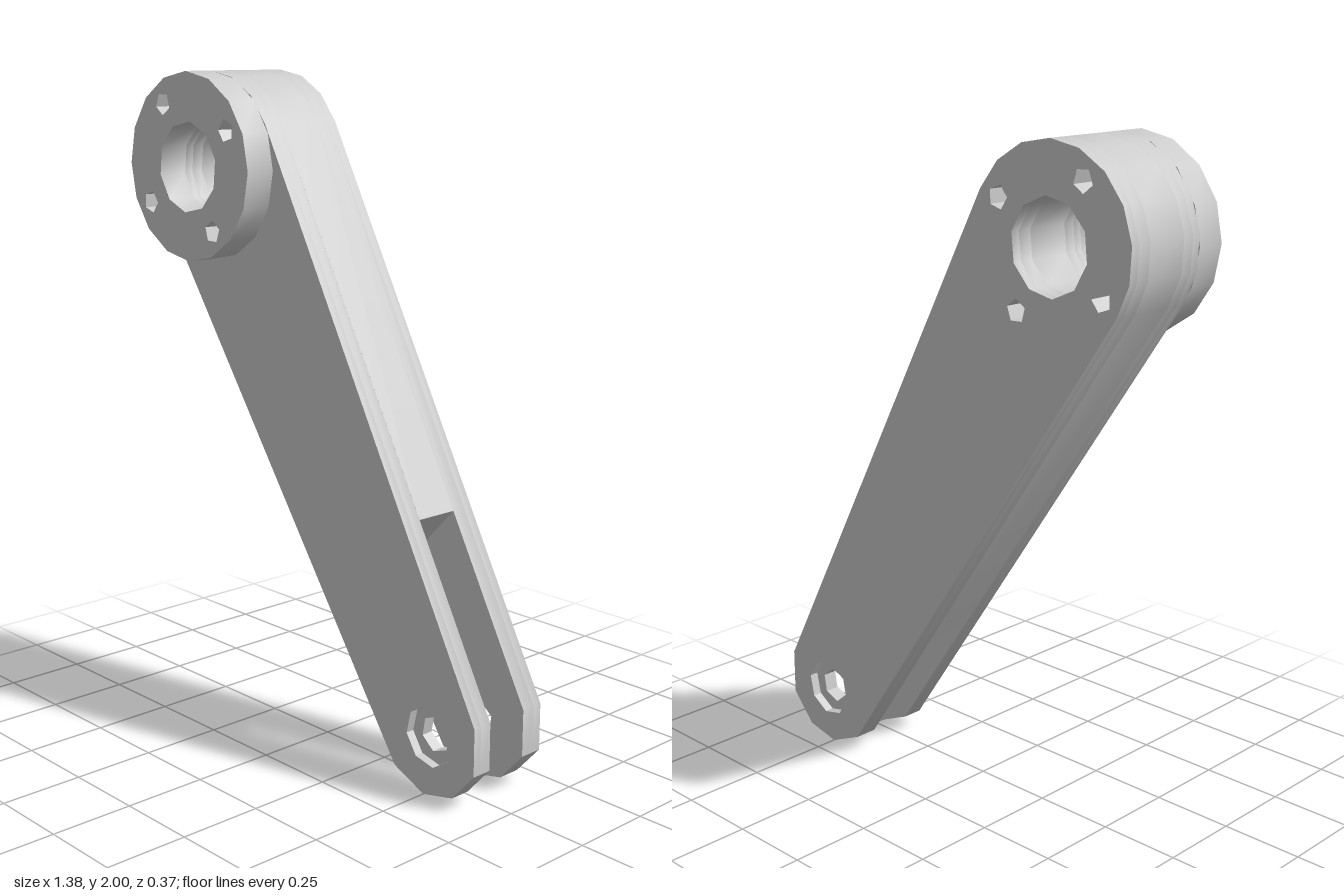
import * as THREE from 'three';
import { toCreasedNormals } from 'three/addons/utils/BufferGeometryUtils.js';

const HUB = [-0.415, 1.72], PIVOT = [0.52, 0.185];

// points on an arc, angles in degrees
function arc([cx, cy], r, from, to, n) {
  return Array.from({ length: n + 1 }, (_, i) => {
    const a = THREE.MathUtils.degToRad(from + (to - from) * i / n);
    return new THREE.Vector2(cx + r * Math.cos(a), cy + r * Math.sin(a));
  });
}
const ring = (c, r, n, start = 0) => arc(c, r, start, start + 360, n).slice(0, n);
const points = list => list.map(([x, y]) => new THREE.Vector2(x, y));

// holes shared by every layer at the hub: bore and four bolt holes
const hubHoles = [
  ring(HUB, 0.135, 10, 12),
  ...[52, 142, 232, 322].map(deg => {
    const a = THREE.MathUtils.degToRad(deg + 70);
    return ring([HUB[0] + 0.215 * Math.cos(a), HUB[1] + 0.215 * Math.sin(a)], 0.034, 5, deg);
  }),
];

export function createModel() {
  const model = new THREE.Group();
  model.name = 'leverArm';
  const material = new THREE.MeshStandardMaterial({ color: 0xcccccc });

  function addLayer(name, outline, holes, z0, z1) {
    const shape = new THREE.Shape(outline);
    shape.holes = holes.map(h => new THREE.Path(h));
    const geometry = new THREE.ExtrudeGeometry(shape, { depth: z1 - z0, bevelEnabled: false });
    geometry.translate(0, 0, z0);
    const mesh = new THREE.Mesh(toCreasedNormals(geometry, 0.64), material);
    mesh.name = name;
    model.add(mesh);
  }

  // outlines: the full arm and the shorter core that leaves the fork slot open
  const hubArc = arc(HUB, 0.28, 28, 214, 9);
  const arm = [...hubArc, ...points([[0.385, 0.055], [0.5, 0.005], [0.61, 0.03], [0.69, 0.12], [0.69, 0.26]])];
  const core = [...hubArc, ...points([[0.106, 0.46], [0.41, 0.78]])];

  // fork plates, each with a through hole and a wider outer recess
  const pin = ring(PIVOT, 0.055, 6, 20);
  const recess = ring(PIVOT, 0.09, 8, 10);
  addLayer('backPlateOuter', arm, [...hubHoles, recess], -0.183, -0.155);
  addLayer('backPlateInner', arm, [...hubHoles, pin], -0.155, -0.11);
  addLayer('armCore', core, hubHoles, -0.11, 0.027);
  addLayer('frontPlateInner', arm, [...hubHoles, pin], 0.027, 0.064);
  addLayer('frontPlateOuter', arm, [...hubHoles, recess], 0.064, 0.091);

  // raised round boss on the front of the hub
  addLayer('hubBoss', ring(HUB, 0.28, 16, 0), hubHoles, 0.091, 0.185);

  return model;
}
